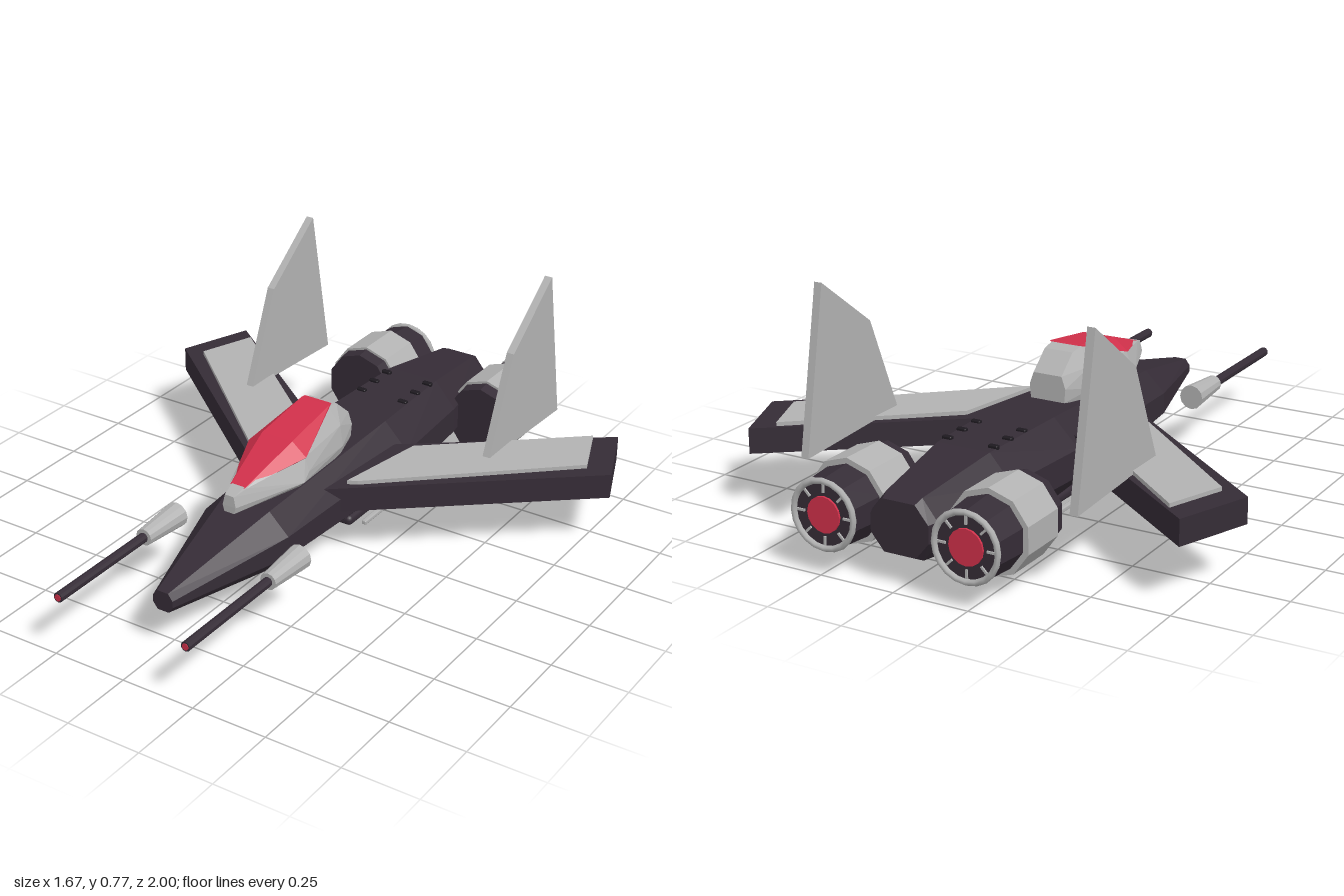
import * as THREE from 'three';
import { ConvexGeometry } from 'three/addons/geometries/ConvexGeometry.js';
import { RoundedBoxGeometry } from 'three/addons/geometries/RoundedBoxGeometry.js';

const material = (name, color) => Object.assign(new THREE.MeshStandardMaterial({ color }), { name });

export function createModel() {
  const dark = material('dark hull', 0x352c36);
  const grey = material('light grey', 0xb2b2b2);
  const red = material('red', 0xd0304a);
  const black = material('vent black', 0x1d191f);

  const model = new THREE.Group();
  model.name = 'starfighter';

  const add = (name, geometry, mat, x = 0, y = 0, z = 0, parent = model) => {
    const mesh = new THREE.Mesh(geometry, mat);
    mesh.name = name;
    mesh.position.set(x, y, z);
    parent.add(mesh);
    return mesh;
  };

  // Faceted solid wrapped round points mirrored in x
  const hull = (points) => new ConvexGeometry(points.flatMap(([x, y, z]) =>
    [new THREE.Vector3(x, y, z), new THREE.Vector3(-x, y, z)]));

  // Cylinder along z: front radius, rear radius, from zFront back to zRear
  const tube = (rFront, rRear, zFront, zRear, sides) => {
    const g = new THREE.CylinderGeometry(rFront, rRear, zFront - zRear, sides);
    g.rotateX(Math.PI / 2);
    g.translate(0, 0, (zFront + zRear) / 2);
    const flat = g.toNonIndexed();
    flat.computeVertexNormals();
    return flat;
  };

  // Plate with an (x, z) outline and its underside at y
  const plate = (outline, y, thickness) => {
    const shape = new THREE.Shape(outline.map(([x, z]) => new THREE.Vector2(x, -z)));
    const g = new THREE.ExtrudeGeometry(shape, { depth: thickness, bevelEnabled: false });
    g.rotateX(-Math.PI / 2);
    g.translate(0, y, 0);
    return g;
  };

  // Fuselage: octagonal sections [z, half width, bottom, top]
  const sections = [
    [0.8, 0.036, 0.13, 0.195], [0.37, 0.155, 0.08, 0.285], [0, 0.168, 0.065, 0.306],
    [-0.27, 0.19, 0.056, 0.32], [-0.62, 0.165, 0.057, 0.316], [-0.93, 0.11, 0.085, 0.275],
    [-0.96, 0.098, 0.1, 0.262],
  ];
  add('fuselage', hull(sections.flatMap(([z, w, bottom, top]) => {
    const h = top - bottom;
    return [[w * 0.55, top, z], [w, top - h * 0.33, z], [w, bottom + h * 0.33, z], [w * 0.55, bottom, z]];
  })), dark);

  // Canopy frame and glass
  add('canopyFrame', hull([
    [0.018, 0.298, 0.46], [0.024, 0.32, 0.46], [0.016, 0.355, 0.458],
    [0.032, 0.368, 0.41], [0.085, 0.293, 0.2], [0.12, 0.33, 0.23], [0.118, 0.355, 0.2],
    [0.103, 0.4, 0.2], [0.052, 0.434, 0.2], [0.085, 0.3, -0.03], [0.1, 0.34, -0.02],
    [0.09, 0.41, -0.02], [0.052, 0.468, -0.01], [0.05, 0.46, -0.06],
    [0.06, 0.315, -0.13], [0.064, 0.36, -0.13], [0.05, 0.4, -0.13],
  ]), grey);
  add('canopyGlass', hull([
    [0.026, 0.368, 0.415], [0.107, 0.4, 0.2], [0.056, 0.442, 0.2],
    [0.052, 0.474, -0.015], [0.05, 0.474, -0.03], [0.03, 0.36, 0.38],
  ]), red);

  // Belly slab and its base
  add('bellyPod', new RoundedBoxGeometry(0.205, 0.035, 0.32, 2, 0.015), dark, 0, 0.036, -0.225);
  add('bellyMount', new THREE.BoxGeometry(0.17, 0.03, 0.26), dark, 0, 0.06, -0.225);

  for (const side of [1, -1]) {
    const label = side > 0 ? 'left' : 'right';
    const flip = (outline) => outline.map(([x, z]) => [x * side, z]);

    // Swept wing with raised panel
    add(label + 'Wing', plate(flip([[0.12, 0.14], [0.836, -0.444], [0.742, -0.687], [0.12, -0.212]]), 0.18, 0.083), dark);
    add(label + 'WingPanel', plate(flip([[0.17, 0.065], [0.2, 0.05], [0.752, -0.44], [0.68, -0.627], [0.226, -0.245]]), 0.263, 0.013), grey);

    // Upright fin
    const finShape = new THREE.Shape([[-0.305, 0.27], [-0.44, 0.59], [-0.68, 0.768], [-0.778, 0.247]]
      .map(([z, y]) => new THREE.Vector2(z, y)));
    const fin = new THREE.ExtrudeGeometry(finShape, { depth: 0.026, bevelEnabled: false });
    fin.rotateY(-Math.PI / 2);
    add(label + 'Fin', fin, grey, side * 0.46 + 0.013);

    // Engine
    const engine = new THREE.Group();
    engine.name = label + 'Engine';
    engine.position.set(side * 0.24, 0.185, 0);
    model.add(engine);
    const part = (name, geometry, mat) => add(name, geometry, mat, 0, 0, 0, engine);
    part('intake', tube(0.122, 0.128, -0.66, -0.72, 10), dark);
    part('band', tube(0.135, 0.135, -0.705, -0.87, 10), grey);
    part('nozzle', tube(0.118, 0.108, -0.86, -0.985, 10), dark);
    const rim = new THREE.TorusGeometry(0.104, 0.01, 6, 20);
    rim.translate(0, 0, -0.99);
    part('nozzleRim', rim, grey);
    part('exhaustGlow', tube(0.056, 0.056, -0.98, -0.992, 16), red);
    for (let i = 0; i < 8; i++) {
      const spoke = new THREE.BoxGeometry(0.03, 0.007, 0.006);
      spoke.translate(0.082, 0, -0.987);
      spoke.rotateZ(i * Math.PI / 4);
      part('nozzleSpoke', spoke, grey);
    }

    // Cannon
    const cannon = new THREE.Group();
    cannon.name = label + 'Cannon';
    cannon.position.set(side * 0.23, 0.2, 0);
    model.add(cannon);
    add('cannonBody', tube(0.028, 0.041, 0.59, 0.42, 12), grey, 0, 0, 0, cannon);
    add('barrel', tube(0.016, 0.016, 0.998, 0.58, 10), dark, 0, 0, 0, cannon);
    add('muzzle', tube(0.011, 0.011, 1, 0.995, 10), red, 0, 0, 0, cannon);

    // Back vents
    for (const z of [-0.58, -0.5, -0.42]) {
      add('vent', new RoundedBoxGeometry(0.034, 0.016, 0.018, 1, 0.005), black, side * 0.08, 0.318, z);
    }

    // Belly skid
    add(label + 'Skid', new RoundedBoxGeometry(0.018, 0.016, 0.19, 1, 0.005), grey, side * 0.113, 0.008, -0.225);
  }
  return model;
}
